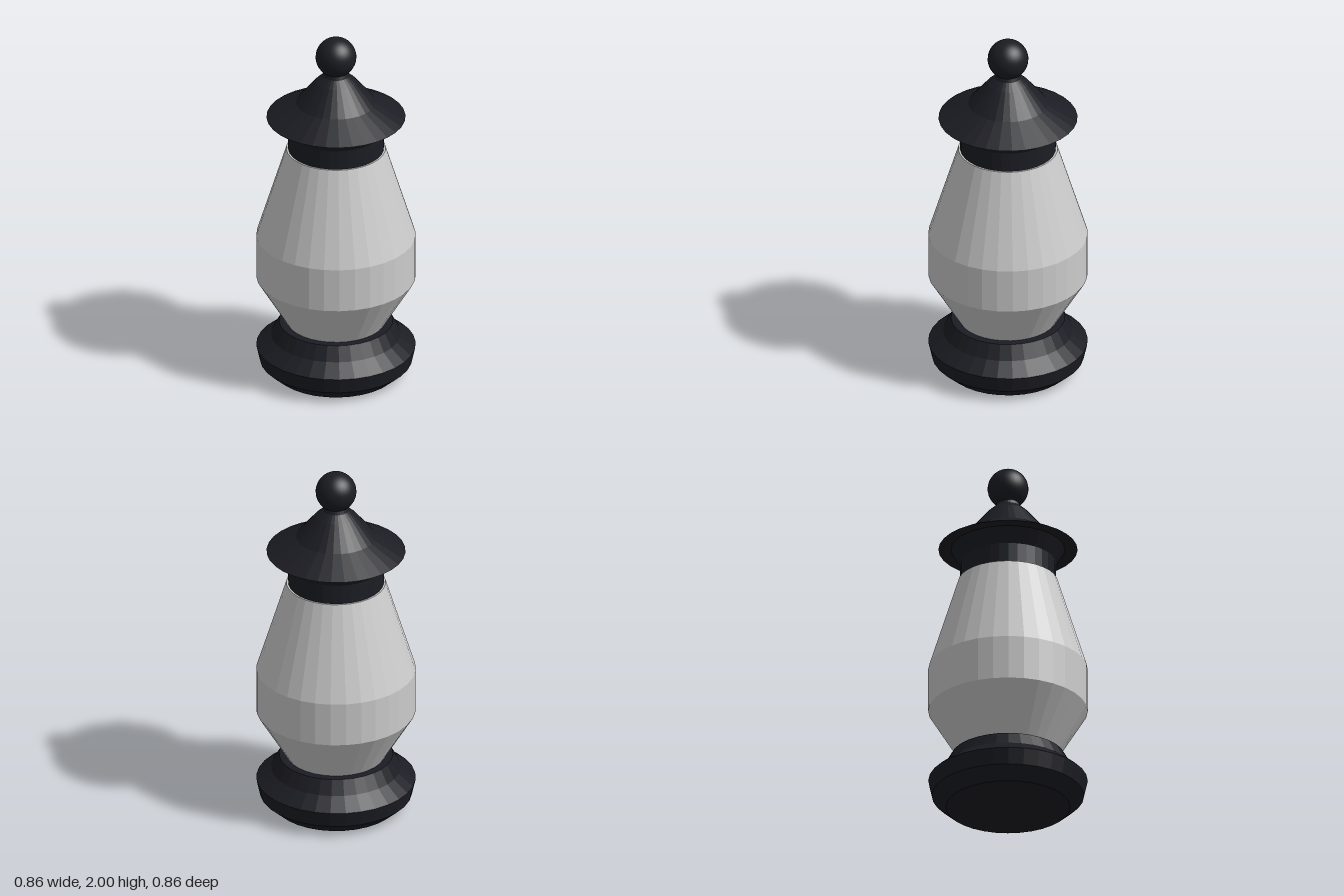
import * as THREE from 'three';

const SIDES = 32;
const glassMaterial = new THREE.MeshStandardMaterial({ color: 0xcccccc, flatShading: true });
const metalMaterial = new THREE.MeshStandardMaterial({ color: 0x1c1d24, flatShading: true });
const knobMaterial = new THREE.MeshStandardMaterial({ color: 0x1c1d24 });

// Faceted turned part; the profile runs from bottom to top as [radius, height]
function turned(name, profile, material) {
  const points = profile.map(([r, y]) => new THREE.Vector2(r, y));
  const mesh = new THREE.Mesh(new THREE.LatheGeometry(points, SIDES), material);
  mesh.name = name;
  return mesh;
}

export function createModel() {
  const lantern = new THREE.Group();
  lantern.name = 'lantern';

  // Chamfered foot with a flat top
  lantern.add(turned('base', [
    [0, 0], [0.335, 0], [0.41, 0.066], [0.43, 0.155],
    [0.35, 0.22], [0.307, 0.298], [0, 0.298],
  ], metalMaterial));

  // Faceted glass body, widest at the middle band
  lantern.add(turned('glass', [
    [0, 0.29], [0.26, 0.29], [0.43, 0.57], [0.43, 0.817], [0.268, 1.34], [0, 1.34],
  ], glassMaterial));

  // Collar flaring out under the roof
  lantern.add(turned('collar', [
    [0, 1.335], [0.258, 1.335], [0.258, 1.45], [0.307, 1.53],
  ], metalMaterial));

  // Roof with a thin overhanging brim and a narrow neck
  lantern.add(turned('roof', [
    [0, 1.53], [0.375, 1.53], [0.215, 1.62], [0.11, 1.745], [0.07, 1.78], [0.055, 1.82],
  ], metalMaterial));

  // Round knob on top
  const knob = new THREE.Mesh(new THREE.SphereGeometry(0.11, 32, 24), knobMaterial);
  knob.name = 'knob';
  knob.position.y = 1.89;
  lantern.add(knob);

  return lantern;
}
